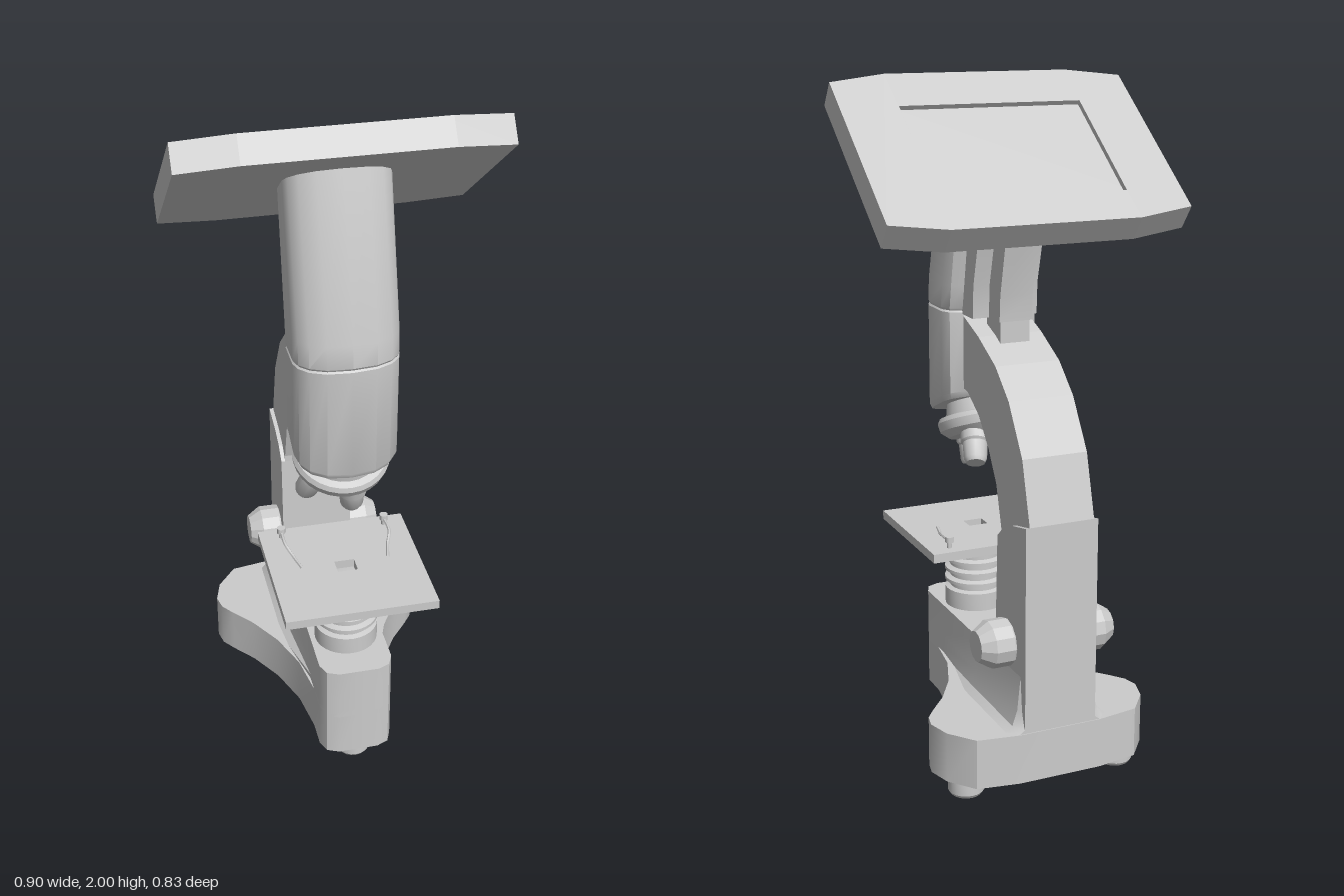
import * as THREE from 'three';
import { toCreasedNormals } from 'three/addons/utils/BufferGeometryUtils.js';

const material = new THREE.MeshStandardMaterial({ color: 0xcccccc });

function add(parent, name, geometry, crease = 0.6) {
  const mesh = new THREE.Mesh(toCreasedNormals(geometry, crease), material);
  mesh.name = name;
  parent.add(mesh);
  return mesh;
}

// Full outline from a half outline running front to back on the +x side
const mirrored = (half) => [
  ...half,
  ...half.slice().reverse().filter((p) => p[0] > 0).map(([x, ...rest]) => [-x, ...rest]),
];

// Closed skin over rings of [x, y, z], ordered bottom to top
function loft(rings) {
  const n = rings[0].length, pos = [], idx = [];
  rings.forEach((r) => r.forEach((p) => pos.push(...p)));
  for (let k = 0; k < rings.length - 1; k++) {
    for (let i = 0; i < n; i++) {
      const a = k * n + i, b = k * n + (i + 1) % n;
      idx.push(a, b, b + n, a, b + n, a + n);
    }
  }
  [rings[0], rings[rings.length - 1]].forEach((r, end) => {
    const c = pos.length / 3, o = end ? (rings.length - 1) * n : 0;
    pos.push(...[0, 1, 2].map((j) => r.reduce((s, p) => s + p[j], 0) / n));
    for (let i = 0; i < n; i++) {
      const a = o + i, b = o + (i + 1) % n;
      if (end) idx.push(c, a, b); else idx.push(c, b, a);
    }
  });
  const g = new THREE.BufferGeometry();
  g.setAttribute('position', new THREE.Float32BufferAttribute(pos, 3));
  g.setIndex(idx);
  return g;
}

const shapeOf = (pts) => new THREE.Shape(pts.map(([a, b]) => new THREE.Vector2(a, b)));
const holeOf = (x0, y0, x1, y1) => new THREE.Path(
  [[x0, y0], [x0, y1], [x1, y1], [x1, y0]].map(([a, b]) => new THREE.Vector2(a, b)));

// Side profile of [z, y] points, extruded across x
function sideProfile(pts, halfWidth) {
  const g = new THREE.ExtrudeGeometry(shapeOf(pts), { depth: halfWidth * 2, bevelEnabled: false });
  return g.translate(0, 0, -halfWidth).rotateY(-Math.PI / 2);
}

const lathe = (pts, sides) => new THREE.LatheGeometry(pts.map(([r, y]) => new THREE.Vector2(r, y)), sides);

export function createModel() {
  const model = new THREE.Group();
  model.name = 'microscope';

  // Base plate with two rear lobes
  const plate = mirrored([[0, 0.38], [0.06, 0.38], [0.095, 0.365], [0.11, 0.33], [0.11, 0.25],
    [0.13, 0.12], [0.175, 0.0], [0.235, -0.1], [0.29, -0.165], [0.32, -0.205], [0.33, -0.25],
    [0.31, -0.32], [0.25, -0.395], [0.125, -0.415], [0, -0.415]]);
  add(model, 'basePlate', loft([0.06, 0.21].map((y) => plate.map(([x, z]) => [x, y, z]))));

  // Raised bridge flaring into the plate toward the rear
  add(model, 'baseBridge', loft([[0.2, 0.17], [0.225, 0.135], [0.27, 0.12], [0.37, 0.11]].map(([y, w]) =>
    mirrored([[0, 0.38], [0.06, 0.38], [0.095, 0.365], [0.11, 0.33], [0.11, 0.2],
      [w, -0.08], [w, -0.38], [w - 0.03, -0.412], [0, -0.412]]).map(([x, z]) => [x, y, z]))));

  // Feet
  for (const [x, z] of [[0, 0.3], [0.24, -0.29], [-0.24, -0.29]]) {
    const foot = add(model, 'foot', lathe([[0, 0], [0.045, 0], [0.052, 0.01], [0.052, 0.065], [0, 0.065]], 20));
    foot.position.set(x, 0, z);
  }

  // Column and curved arm
  add(model, 'column', sideProfile([[-0.412, 0.2], [-0.2, 0.2], [-0.205, 0.4], [-0.22, 0.74],
    [-0.26, 0.775], [-0.32, 0.8], [-0.412, 0.82]], 0.11), 0.3);
  add(model, 'arm', sideProfile([[-0.41, 0.7], [-0.22, 0.7], [-0.22, 0.76], [-0.185, 0.88], [-0.13, 0.97],
    [-0.06, 1.05], [0.02, 1.1], [0.1, 1.11], [0.1, 1.32], [0.05, 1.32], [-0.06, 1.28], [-0.18, 1.22],
    [-0.27, 1.14], [-0.36, 1.0], [-0.41, 0.82]], 0.098), 0.1);

  // Focus knobs
  for (const side of [1, -1]) {
    const knob = add(model, 'focusKnob', lathe([[0, 0], [0.062, 0], [0.07, 0.015], [0.07, 0.07],
      [0.045, 0.108], [0, 0.108]], 12), 0.4);
    knob.rotation.z = -side * Math.PI / 2;
    knob.position.set(side * 0.1, 0.445, -0.29);
  }

  // Ribbed stage support
  const ribs = [[0, 0.36], [0.095, 0.36], [0.095, 0.425]];
  for (let i = 0; i < 5; i++) {
    const y = 0.43 + i * 0.034;
    ribs.push([0.08, y], [0.08, y + 0.014], [0.096, y + 0.018], [0.096, y + 0.028]);
  }
  ribs.push([0.085, 0.6], [0, 0.6]);
  add(model, 'stageSupport', lathe(ribs, 28)).position.z = 0.2;

  // Stage plate with a square light opening
  const stage = shapeOf([[-0.225, -0.42], [0.225, -0.42], [0.225, 0.02], [-0.225, 0.02]]);
  stage.holes.push(holeOf(-0.03, -0.225, 0.03, -0.175));
  add(model, 'stage', new THREE.ExtrudeGeometry(stage, { depth: 0.027, bevelEnabled: false })
    .rotateX(-Math.PI / 2).translate(0, 0.602, 0));

  // Stage clips
  for (const side of [1, -1]) {
    const x = side * 0.16;
    const post = add(model, 'clipPost', lathe([[0, 0], [0.007, 0], [0.007, 0.02], [0.013, 0.02],
      [0.013, 0.037], [0, 0.037]], 12));
    post.position.set(x, 0.627, 0.02);
    const path = new THREE.CatmullRomCurve3([[x, 0.65, 0.02], [x, 0.65, 0.09], [x - side * 0.015, 0.635, 0.13],
      [x - side * 0.03, 0.633, 0.19]].map((p) => new THREE.Vector3(...p)));
    add(model, 'clip', new THREE.TubeGeometry(path, 16, 0.005, 6), 1);
  }

  // Head: two stacked sections, each ring given by its front and back [z, y]
  const section = [[0, 1], [0.07, 0.97], [0.115, 0.88], [0.14, 0.76], [0.15, 0.62],
    [0.15, 0.2], [0.135, 0.06], [0.1, 0], [0, 0]];
  const headRing = ([front, back, s]) => mirrored(section).map(([x, t]) => [x * s,
    back[1] + (front[1] - back[1]) * t, back[0] + (front[0] - back[0]) * t]);
  add(model, 'headLower', loft([
    [[0.262, 0.985], [0.06, 1.075], 0.95],
    [[0.27, 1.0], [0.05, 1.095], 1],
    [[0.27, 1.33], [0.05, 1.33], 1],
    [[0.265, 1.336], [0.055, 1.336], 0.97],
  ].map(headRing)));
  add(model, 'headUpper', loft([
    [[0.265, 1.334], [0.055, 1.334], 0.97],
    [[0.27, 1.342], [0.05, 1.342], 1],
    [[0.267, 1.41], [0.037, 1.41], 1],
    [[0.13, 1.875], [-0.03, 1.76], 0.99],
  ].map(headRing)));

  // Rear spine and post bracing the display
  add(model, 'headSpine', sideProfile([[0.08, 1.325], [-0.025, 1.325], [-0.03, 1.42], [-0.105, 1.7],
    [-0.02, 1.77], [0.06, 1.42]], 0.1), 0.3);
  add(model, 'rearPost', sideProfile([[0, 1.325], [-0.1, 1.325], [-0.105, 1.4], [-0.165, 1.66],
    [-0.09, 1.72], [-0.02, 1.42]], 0.05), 0.3);
  add(model, 'rearPostFoot', sideProfile([[0, 1.22], [-0.095, 1.22], [-0.095, 1.33], [0, 1.33]], 0.045));

  // Tilted nosepiece
  const nose = add(model, 'nosepiece', lathe([[0, -0.045], [0.115, -0.045], [0.138, -0.025], [0.143, 0],
    [0.135, 0.014], [0.115, 0.018], [0.105, 0.06], [0, 0.06]], 28), 0.5);
  nose.position.set(0, 0.985, 0.125);
  nose.rotation.x = 0.41;

  // Objective lenses, each from its mount to its tip
  const lenses = [
    [[0.015, 0.945, 0.205], [0.022, 0.832, 0.17]],
    [[-0.06, 0.955, 0.14], [-0.1, 0.838, 0.085]],
    [[0.055, 0.985, 0.07], [0.085, 0.89, -0.005]],
  ];
  for (const [from, to] of lenses) {
    const a = new THREE.Vector3(...from), dir = new THREE.Vector3(...to).sub(a);
    const l = dir.length();
    const lens = add(model, 'objective', lathe([[0, 0], [0.043, 0], [0.043, l * 0.45], [0.037, l * 0.5],
      [0.034, l * 0.9], [0.028, l], [0, l]].map(([r, y]) => [r, -y]).reverse(), 16));
    lens.position.copy(a);
    lens.quaternion.setFromUnitVectors(new THREE.Vector3(0, -1, 0), dir.normalize());
  }

  // Tilted display: framed panel with a recessed screen
  const display = new THREE.Group();
  display.name = 'display';
  const outline = [[-0.28, -0.308], [0.28, -0.308], [0.448, -0.278], [0.448, 0.278],
    [0.28, 0.308], [-0.28, 0.308], [-0.448, 0.278], [-0.448, -0.278]];
  const frame = shapeOf(outline);
  frame.holes.push(holeOf(-0.277, -0.172, 0.277, 0.2));
  add(display, 'displayFrame', new THREE.ExtrudeGeometry(frame, { depth: 0.015, bevelEnabled: false })
    .translate(0, 0, -0.015), 0.1);
  add(display, 'displayBody', new THREE.ExtrudeGeometry(shapeOf(outline), { depth: 0.068, bevelEnabled: false })
    .translate(0, 0, -0.083), 0.1);
  display.rotation.x = Math.atan2(-0.8, -0.6);
  display.position.set(0, 1.815, -0.068);
  model.add(display);

  return model;
}
